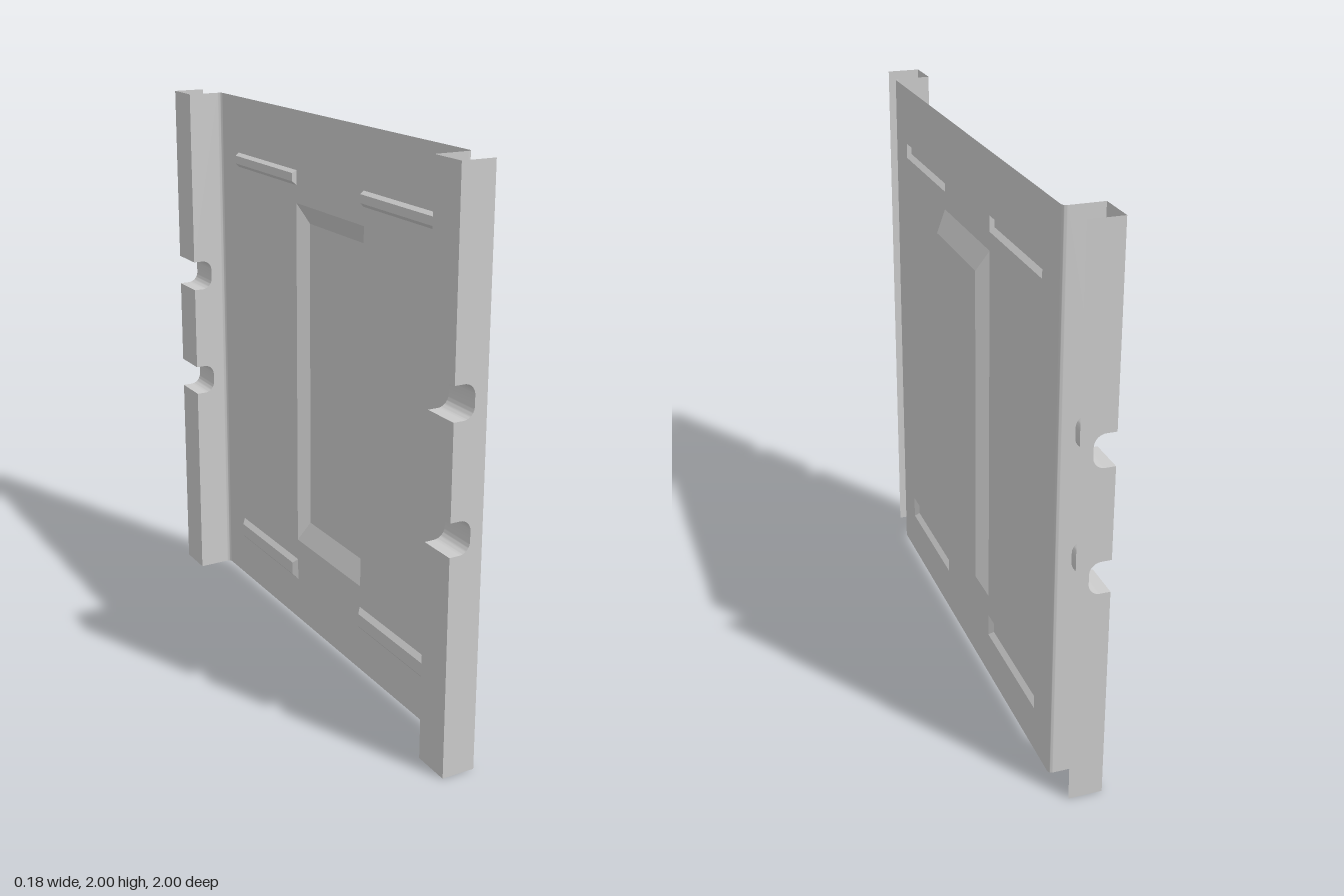
import * as THREE from 'three';
import { toCreasedNormals } from 'three/addons/utils/BufferGeometryUtils.js';

const FACE = 0.045, BACK = -0.09, EDGE = 0.86, OUT = 1, H = 2, R = 0.015;
const NOTCHES = [[0.78, 0.895], [1.22, 1.335]];
const NOTCH_X = -0.015, NOTCH_R = 0.04;

const material = new THREE.MeshStandardMaterial({ color: 0xcccccc, side: THREE.DoubleSide });

function mesh(name, geometry) {
  const m = new THREE.Mesh(geometry, material);
  m.name = name;
  return m;
}

// Surface stretched between two rails of [x, y, z] points
function ruled(a, b) {
  const pos = [];
  for (let i = 0; i < a.length - 1; i++) {
    pos.push(...a[i], ...a[i + 1], ...b[i + 1], ...a[i], ...b[i + 1], ...b[i]);
  }
  const g = new THREE.BufferGeometry();
  g.setAttribute('position', new THREE.Float32BufferAttribute(pos, 3));
  g.computeVertexNormals();
  return toCreasedNormals(g, 0.7);
}

// Corners of a rectangle { z0, z1, y0, y1 } lying at x
const corners = (r, x) => [[r.z0, r.y0], [r.z1, r.y0], [r.z1, r.y1], [r.z0, r.y1]].map(([z, y]) => [x, y, z]);

// Pressed form: sloping walls from an outer to an inner rectangle, and its floor
function pressing(name, outer, inner, depth) {
  const group = new THREE.Group();
  group.name = name;
  const a = corners(outer, FACE), b = corners(inner, FACE + depth);
  for (let i = 0; i < 4; i++) {
    const j = (i + 1) % 4;
    group.add(mesh('slopedWall', ruled([a[j], a[i]], [b[j], b[i]])));
  }
  group.add(mesh('floor', ruled([b[1], b[0]], [b[2], b[3]])));
  return group;
}

// Outline of one notch, running upward from the back edge
function notchPath(path, y0, y1) {
  path.lineTo(NOTCH_X - NOTCH_R, y0);
  path.absarc(NOTCH_X - NOTCH_R, y0 + NOTCH_R, NOTCH_R, -Math.PI / 2, 0, false);
  path.absarc(NOTCH_X - NOTCH_R, y1 - NOTCH_R, NOTCH_R, 0, Math.PI / 2, false);
  path.lineTo(BACK, y1);
}

// Flat wall in the x-y plane with the notches cut from its back edge
function notchedWall(name, frontX, z) {
  const s = new THREE.Shape();
  s.moveTo(frontX, H);
  s.lineTo(frontX, 0);
  s.lineTo(BACK, 0);
  for (const [y0, y1] of NOTCHES) {
    s.lineTo(BACK, y0);
    notchPath(s, y0, y1);
  }
  s.lineTo(BACK, H);
  s.closePath();
  return mesh(name, new THREE.ShapeGeometry(s, 8).translate(0, 0, z));
}

// U channel along one side of the panel
function sideChannel(side) {
  const group = new THREE.Group();
  group.name = side > 0 ? 'frontChannel' : 'rearChannel';
  const zi = side * EDGE, zo = side * OUT;
  group.add(notchedWall('innerWall', FACE - R, zi));
  group.add(notchedWall('outerWall', 0.03, zo));

  // Back web, interrupted by the notches
  const ys = [0, ...NOTCHES.flat(), H];
  for (let i = 0; i < ys.length; i += 2) {
    group.add(mesh('backWeb', ruled(
      [[BACK, ys[i], zi], [BACK, ys[i], zo]],
      [[BACK, ys[i + 1], zi], [BACK, ys[i + 1], zo]])));
  }

  // Rounded trough lining each notch
  for (const [y0, y1] of NOTCHES) {
    const path = new THREE.Path();
    path.moveTo(BACK, y0);
    notchPath(path, y0, y1);
    const pts = path.getPoints(8);
    group.add(mesh('notchTrough', ruled(
      pts.map(p => [p.x, p.y, zi]), pts.map(p => [p.x, p.y, zo]))));
  }

  // Rounded bend joining the channel to the panel
  const bend = y => Array.from({ length: 9 }, (_, i) => {
    const t = i / 8 * Math.PI / 2;
    return [FACE - R + R * Math.sin(t), y, side * (EDGE - R + R * Math.cos(t))];
  });
  group.add(mesh('bend', ruled(bend(0), bend(H))));
  return group;
}

export function createModel() {
  const model = new THREE.Group();
  model.name = 'pressedPanel';

  // Raised centre field and four shallow recesses
  const centre = { z0: -0.24, z1: 0.24, y0: 0.335, y1: 1.665 };
  const openings = [centre];
  model.add(pressing('centreField', centre, { z0: -0.21, z1: 0.21, y0: 0.41, y1: 1.59 }, 0.04));
  for (const s of [-1, 1]) {
    const mid = s * 0.475, w = 0.237;
    const low = { z0: mid - w, z1: mid + w, y0: 0.167, y1: 0.252 };
    const high = { z0: mid - w, z1: mid + w, y0: 1.73, y1: 1.785 };
    openings.push(low, high);
    model.add(pressing('lowerRecess', low,
      { z0: mid - w + 0.017, z1: mid + w - 0.017, y0: 0.185, y1: 0.234 }, -0.016));
    model.add(pressing('upperRecess', high,
      { z0: mid - w + 0.003, z1: mid + w - 0.003, y0: 1.745, y1: 1.775 }, -0.016));
  }

  // Flat sheet with openings for the pressings
  const e = EDGE - R;
  const sheet = new THREE.Shape([[-e, 0], [e, 0], [e, H], [-e, H]].map(p => new THREE.Vector2(...p)));
  for (const o of openings) {
    sheet.holes.push(new THREE.Path(
      [[-o.z0, o.y0], [-o.z0, o.y1], [-o.z1, o.y1], [-o.z1, o.y0]].map(p => new THREE.Vector2(...p))));
  }
  model.add(mesh('sheet', new THREE.ShapeGeometry(sheet).rotateY(Math.PI / 2).translate(FACE, 0, 0)));

  model.add(sideChannel(1), sideChannel(-1));
  return model;
}
